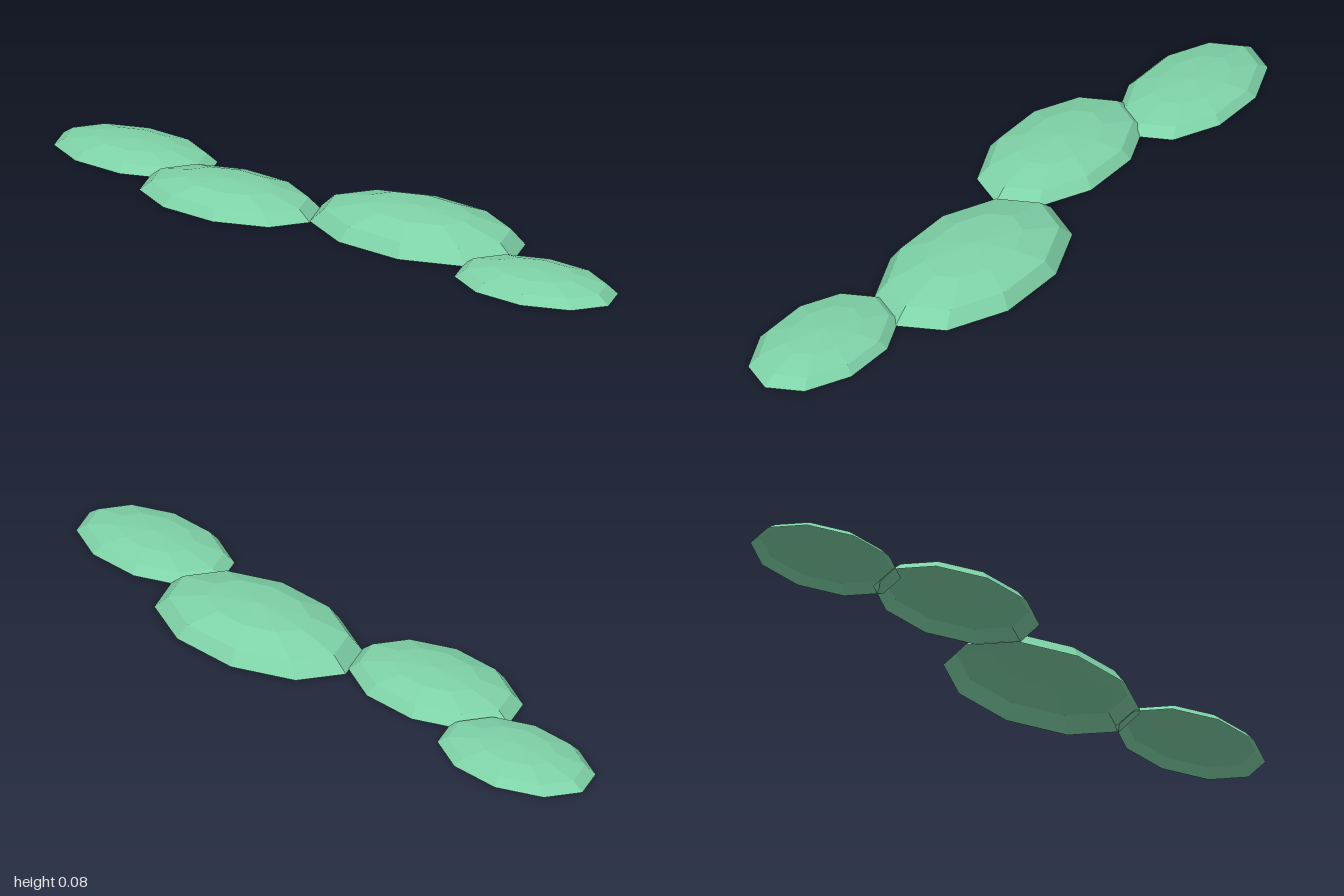
import * as THREE from 'three';

export function createModel() {
  const group = new THREE.Group();
  group.name = 'leafPads';

  const green = new THREE.MeshStandardMaterial({
    name: 'softGreen', color: 0x7fd3a8, flatShading: true, side: THREE.DoubleSide,
  });

  // Open ten-sided dome, three rings high, flat underside left open
  const dome = new THREE.SphereGeometry(1, 10, 3, 0, Math.PI * 2, 0, Math.PI / 2);

  // Each pad: centre x, centre z, radius x, height, radius z
  const pads = [
    ['padFarRight', -0.745, -0.03, 0.255, 0.043, 0.158],
    ['padRight', -0.315, 0.078, 0.282, 0.058, 0.175],
    ['padLarge', 0.233, -0.05, 0.338, 0.078, 0.205],
    ['padFarLeft', 0.745, 0.054, 0.255, 0.047, 0.158],
  ];
  for (const [name, x, z, rx, h, rz] of pads) {
    const pad = new THREE.Mesh(dome, green);
    pad.name = name;
    pad.position.set(x, 0, z);
    pad.scale.set(rx, h, rz);
    group.add(pad);
  }
  return group;
}
